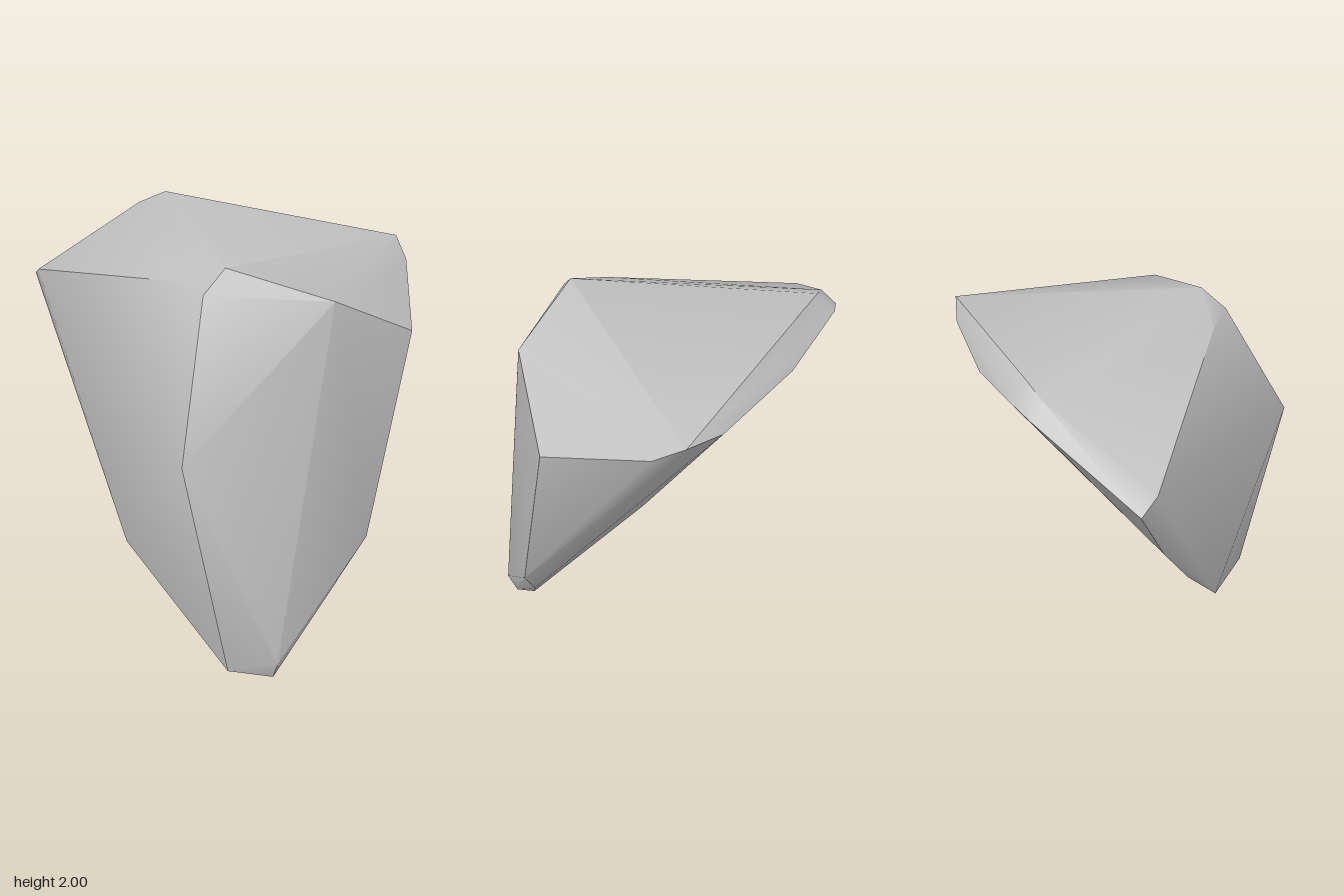
import * as THREE from 'three';
import { ConvexGeometry } from 'three/addons/geometries/ConvexGeometry.js';
import { toCreasedNormals } from 'three/addons/utils/BufferGeometryUtils.js';

export function createModel() {
  const stone = new THREE.MeshStandardMaterial({ color: 0xc0c0c0 });
  stone.name = 'stone grey';

  // corners of the faceted boulder
  const corners = [
    // top face
    [0.46, 2.0, 0.42], [0.82, 1.86, 0.09], [-0.62, 1.98, -0.12],
    [0.345, 1.815, -0.87], [0.48, 1.74, -0.8], [0.872, 1.59, -0.4],
    // rim along the back and side of the top
    [-0.69, 1.9, -0.18], [-0.7, 1.928, -0.01], [-0.765, 1.86, -0.05],
    [-0.34, 1.805, -0.46], [0.14, 1.78, -0.78],
    [-0.95, 1.59, 0.51], [-0.85, 1.65, 0.555],
    // front ridge
    [0.24, 1.905, 0.54], [0.46, 1.905, 0.55], [0.68, 1.25, 0.87], [0.78, 0.08, 0.69],
    // lower edge of the front
    [0, 0.44, 0.69], [-0.3, 0.77, 0.595], [-0.62, 1.15, 0.54],
    // foot and lower back edge
    [0.89, 0, 0.49], [0.933, 0.11, 0.505], [0.5, 0.18, 0.52],
    [0.84, 0.19, 0.24], [0.87, 0.39, 0.05], [0.945, 0.6, -0.08],
    // slight swell of the back
    [0.31, 0.95, -0.15],
  ].map((p) => new THREE.Vector3(...p));

  // soft shading across edges under 35 degrees, sharp along the steeper ones
  const crease = THREE.MathUtils.degToRad(35);
  const rock = new THREE.Mesh(toCreasedNormals(new ConvexGeometry(corners), crease), stone);
  rock.name = 'rock';

  const group = new THREE.Group();
  group.name = 'boulder';
  group.add(rock);
  return group;
}
